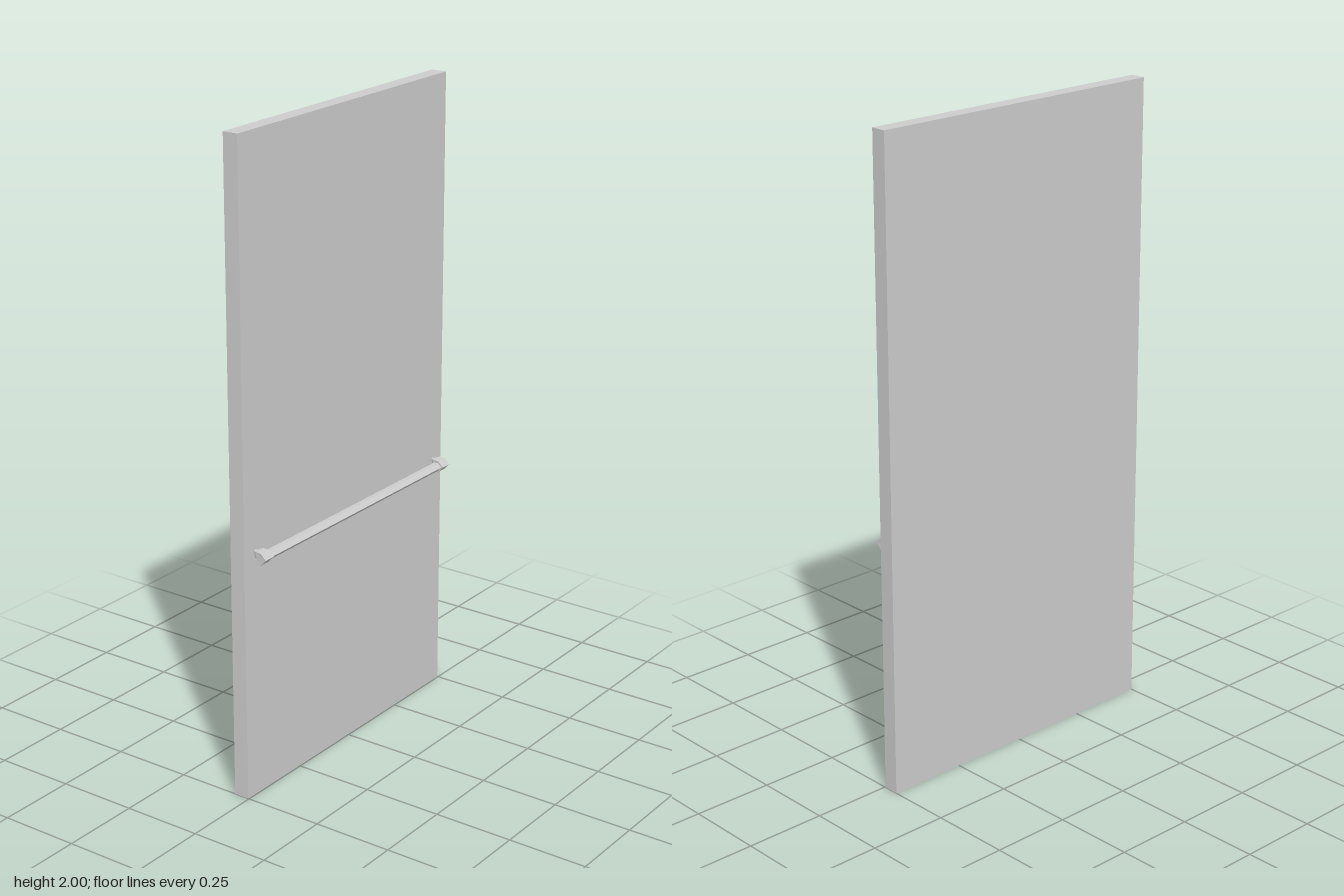
import * as THREE from 'three';

const material = new THREE.MeshStandardMaterial({ color: 0xcccccc, flatShading: true });

// Extrudes an x/y profile along z, centred on z = 0
function extrudeProfile(points, depth) {
  const shape = new THREE.Shape(points.map(([x, y]) => new THREE.Vector2(x, y)));
  const geometry = new THREE.ExtrudeGeometry(shape, { depth, bevelEnabled: false });
  return geometry.translate(0, 0, -depth / 2);
}

function addPart(parent, name, geometry, x = 0, y = 0, z = 0) {
  const mesh = new THREE.Mesh(geometry, material);
  mesh.name = name;
  mesh.position.set(x, y, z);
  parent.add(mesh);
  return mesh;
}

// Bracket head: slanted profile whose sides narrow towards the door
function bracketGeometry() {
  const geometry = extrudeProfile([
    [0.006, 0.770], [0.014, 0.764], [0.032, 0.747], [0.051, 0.767],
    [0.034, 0.784], [0.014, 0.785], [0.006, 0.783],
  ], 0.038);
  const pos = geometry.attributes.position;
  for (let i = 0; i < pos.count; i++) {
    const x = pos.getX(i);
    const scale = x < 0.01 ? 0.66 : x < 0.02 ? 0.92 : 1;
    pos.setZ(i, pos.getZ(i) * scale);
  }
  geometry.computeVertexNormals();
  return geometry;
}

export function createModel() {
  const model = new THREE.Group();
  model.name = 'doorWithPushBar';

  // Door slab
  addPart(model, 'doorPanel', new THREE.BoxGeometry(0.049, 2, 1), -0.0275, 1, 0);

  // Tilted bar between the brackets
  addPart(model, 'pushBar', extrudeProfile([
    [0.02, 0.766], [0.033, 0.752], [0.046, 0.766], [0.034, 0.778], [0.02, 0.778],
  ], 0.88));

  // Mounting bracket at each end
  for (const side of [1, -1]) {
    const bracket = new THREE.Group();
    bracket.name = side > 0 ? 'frontBracket' : 'backBracket';
    bracket.position.z = side * 0.451;
    addPart(bracket, 'bracketHead', bracketGeometry());
    addPart(bracket, 'bracketNeck', new THREE.BoxGeometry(0.014, 0.01, 0.012), 0.003, 0.777, 0);
    model.add(bracket);
  }
  return model;
}
